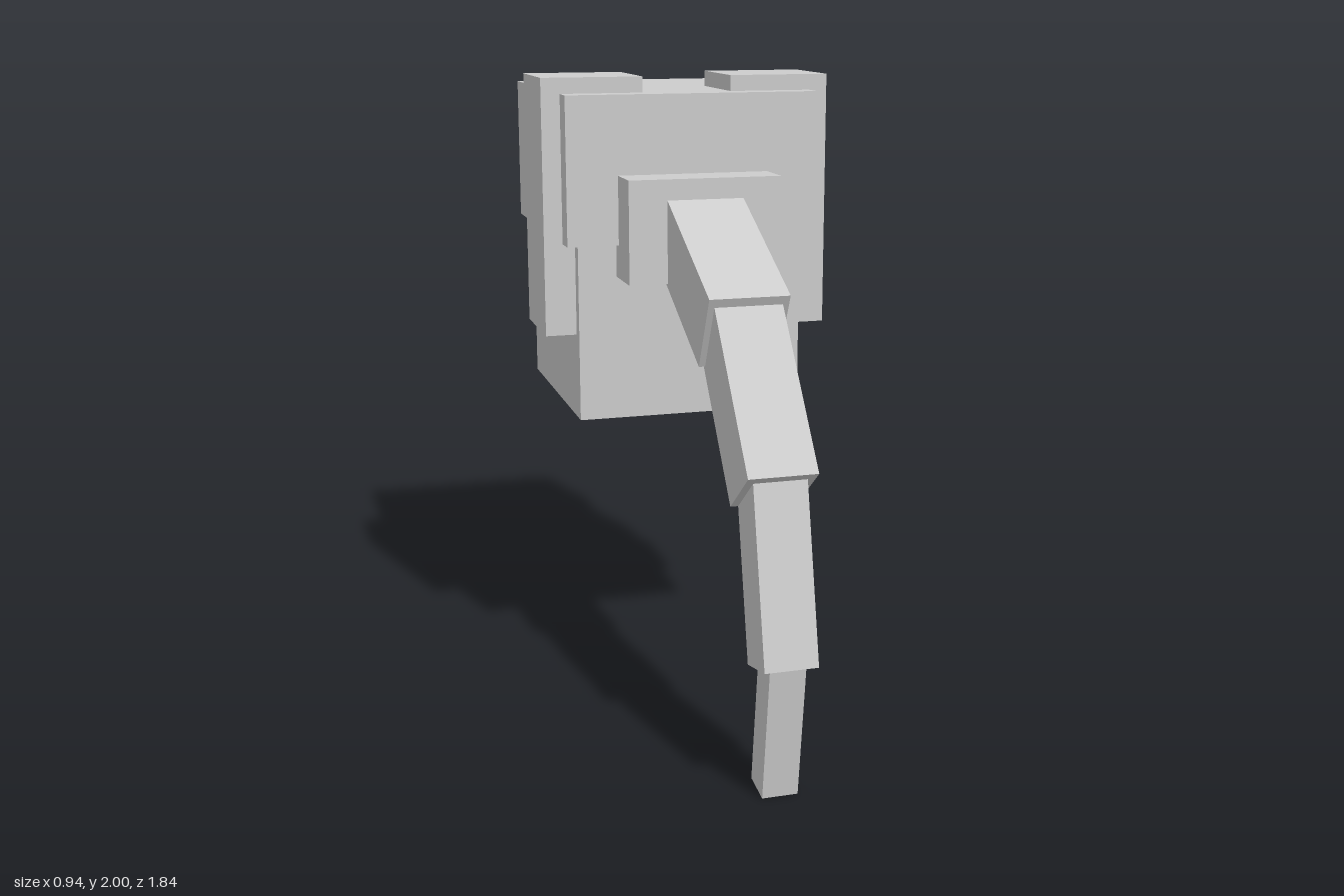
import * as THREE from 'three';

export function createModel() {
  const model = new THREE.Group();
  model.name = 'trunkedHead';
  const grey = new THREE.MeshStandardMaterial({ color: 0xcccccc });
  grey.name = 'grey skin';

  // Box from its minimum and maximum corners
  const block = (name, min, max) => {
    const size = max.map((v, i) => v - min[i]);
    const mesh = new THREE.Mesh(new THREE.BoxGeometry(...size), grey);
    mesh.position.set(...max.map((v, i) => (v + min[i]) / 2));
    mesh.name = name;
    model.add(mesh);
  };

  // Head
  block('upperHead', [-0.41, 1.48, -0.92], [0.41, 1.95, -0.08]);
  block('lowerHead', [-0.37, 0.91, -0.885], [0.37, 1.49, -0.115]);
  block('trunkBase', [-0.245, 1.375, -0.13], [0.245, 1.7, 0.06]);

  // Ears
  block('leftEar', [0.145, 1.185, -0.455], [0.47, 2, -0.157]);
  block('rightEar', [-0.47, 1.185, -0.455], [-0.145, 2, -0.157]);

  // Trunk: each segment reaches from inside the previous one to its tip
  // [tip z, tip y, direction z, direction y, length, width, thickness]
  const trunk = new THREE.Group();
  trunk.name = 'trunk';
  [
    [0.465, 1.298, 0.896, -0.443, 0.54, 0.245, 0.245],
    [0.752, 0.9, 0.617, -0.787, 0.55, 0.207, 0.207],
    [0.847, 0.41, 0.222, -0.975, 0.57, 0.16, 0.157],
    [0.783, 0.008, -0.137, -0.99, 0.46, 0.108, 0.104],
  ].forEach(([z, y, dz, dy, length, width, thick], i) => {
    const mesh = new THREE.Mesh(new THREE.BoxGeometry(width, thick, length), grey);
    mesh.position.set(0, y - (dy * length) / 2, z - (dz * length) / 2);
    mesh.rotation.x = Math.atan2(-dy, dz);
    mesh.name = `trunkSegment${i + 1}`;
    trunk.add(mesh);
  });
  model.add(trunk);

  return model;
}
